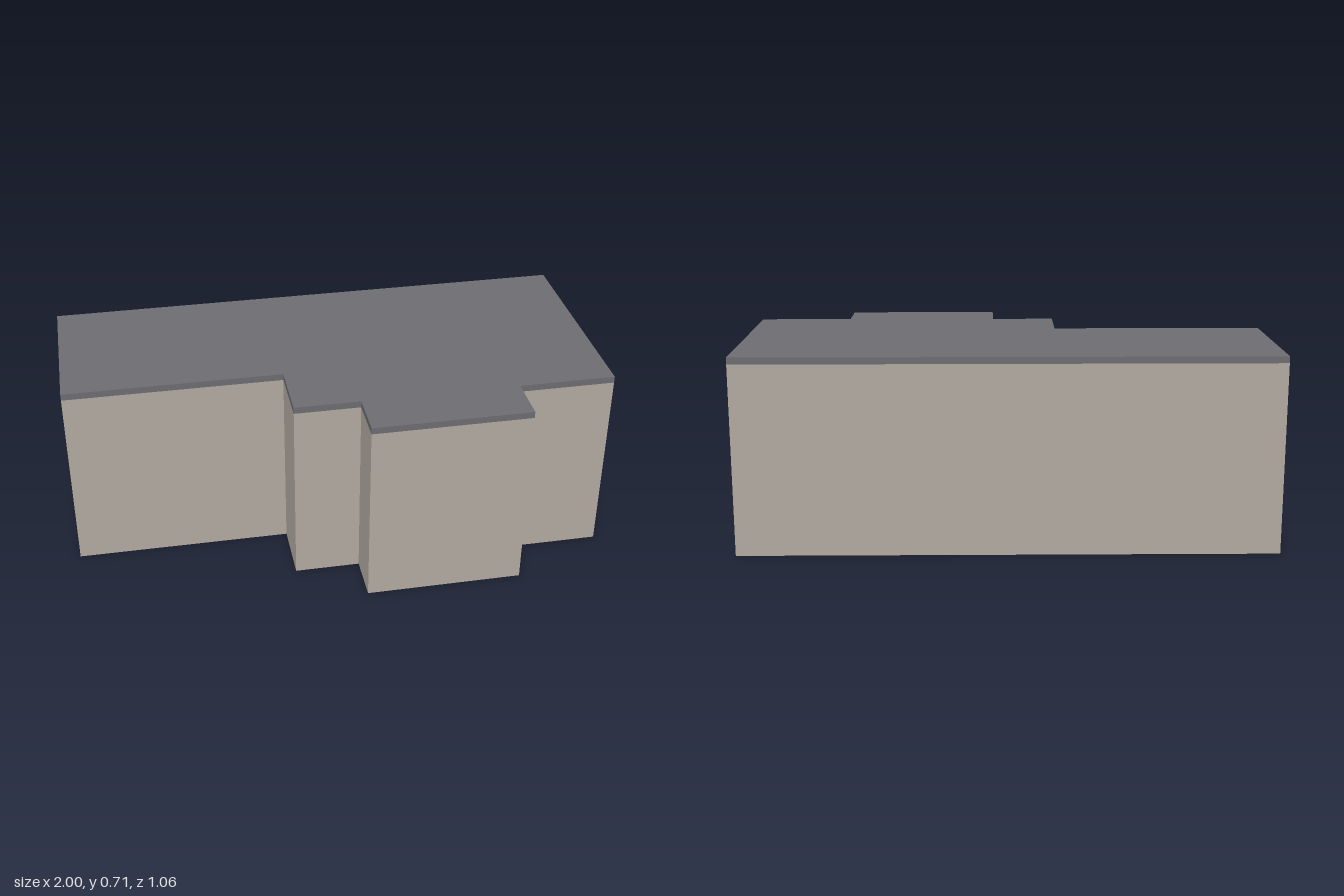
import * as THREE from 'three';

const WALL_HEIGHT = 0.688;
const ROOF_THICKNESS = 0.024;

// Footprint corners as [x, z]: a slightly turned block with a stepped front
const footprint = [
  [-1, -0.343], [-0.942, 0.231], [-0.166, 0.155], [-0.143, 0.381], [0.091, 0.358],
  [0.108, 0.529], [0.672, 0.473], [0.655, 0.302], [1, 0.268], [0.918, -0.534],
];

// Raises the footprint into a slab from y = base
function slab(name, base, height, material) {
  const shape = new THREE.Shape(footprint.map(([x, z]) => new THREE.Vector2(x, -z)));
  const geometry = new THREE.ExtrudeGeometry(shape, { depth: height, bevelEnabled: false });
  geometry.rotateX(-Math.PI / 2);
  const mesh = new THREE.Mesh(geometry, material);
  mesh.name = name;
  mesh.position.y = base;
  return mesh;
}

export function createModel() {
  const wallMaterial = new THREE.MeshStandardMaterial({ color: 0xb3aba2 });
  wallMaterial.name = 'warm grey wall';
  const roofMaterial = new THREE.MeshStandardMaterial({ color: 0x6e6d73 });
  roofMaterial.name = 'dark grey roof';

  const model = new THREE.Group();
  model.name = 'building';
  model.add(
    slab('walls', 0, WALL_HEIGHT, wallMaterial),
    slab('flatRoof', WALL_HEIGHT, ROOF_THICKNESS, roofMaterial),
  );
  return model;
}
